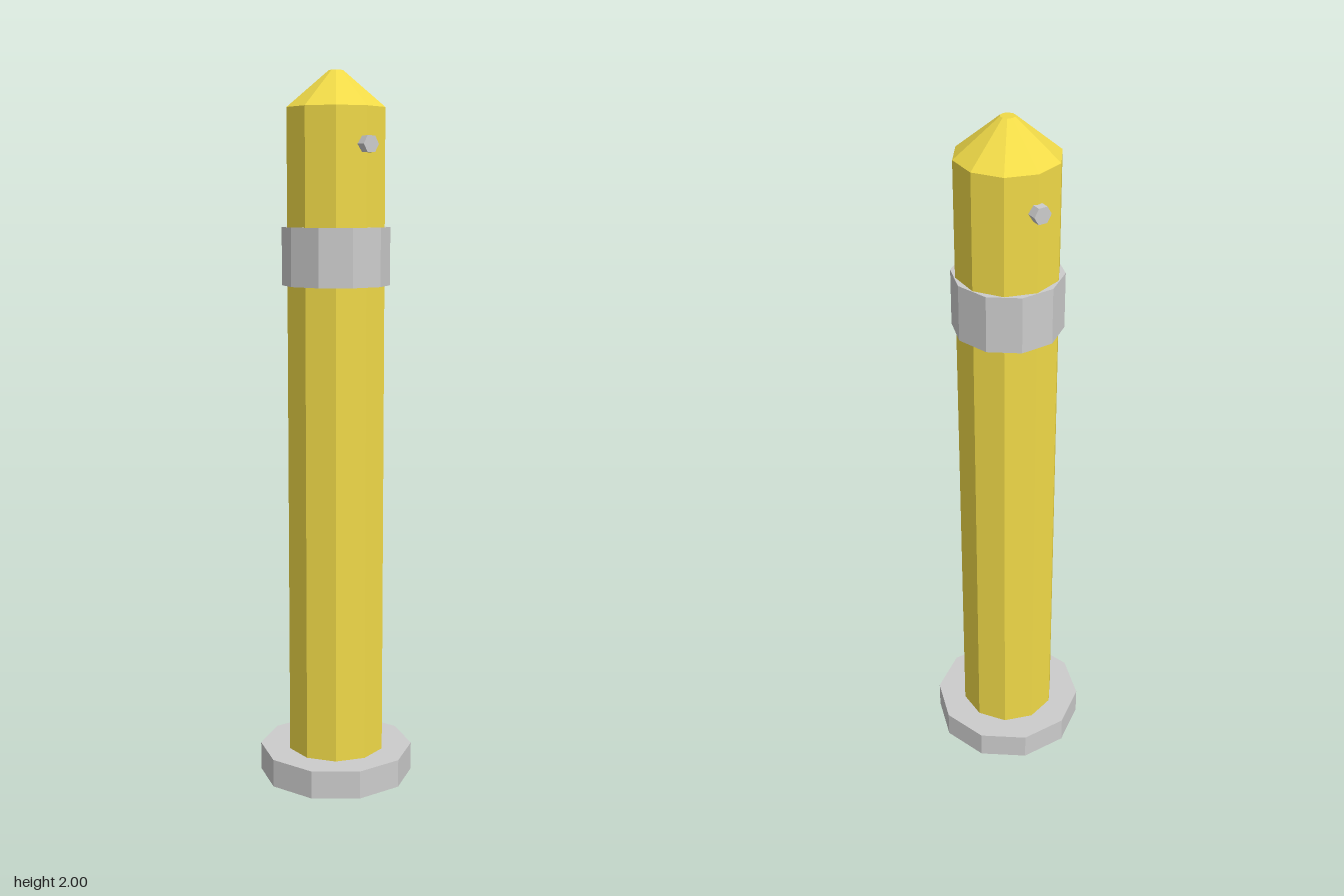
import * as THREE from 'three';

const SIDES = 10;

export function createModel() {
  const model = new THREE.Group();
  model.name = 'bollard';
  const grey = new THREE.MeshStandardMaterial({ color: 0xcccccc, flatShading: true });
  const yellow = new THREE.MeshStandardMaterial({ color: 0xf0da48, flatShading: true });

  // Upright prism or frustum between two heights
  function ring(name, rBottom, rTop, y0, y1, material, turn = 0) {
    const geometry = new THREE.CylinderGeometry(rTop, rBottom, y1 - y0, SIDES);
    geometry.rotateY(turn);
    const mesh = new THREE.Mesh(geometry, material);
    mesh.name = name;
    mesh.position.y = (y0 + y1) / 2;
    model.add(mesh);
  }

  // Base plate and collar have a corner facing the front
  ring('basePlate', 0.22, 0.22, 0, 0.08, grey);
  ring('collar', 0.15, 0.15, 1.42, 1.58, grey);

  // Post and cap have a flat side facing the front; the post is set into the plate
  ring('post', 0.14, 0.14, 0.02, 1.9, yellow, Math.PI / 2);
  ring('cap', 0.14, 0.02, 1.9, 2, yellow, Math.PI / 2);

  // Hexagonal cross pin, showing at both sides of the post
  const pin = new THREE.Mesh(new THREE.CylinderGeometry(0.025, 0.025, 0.32, 6), grey);
  pin.name = 'crossPin';
  pin.rotation.z = Math.PI / 2;
  pin.position.y = 1.8;
  model.add(pin);

  return model;
}
